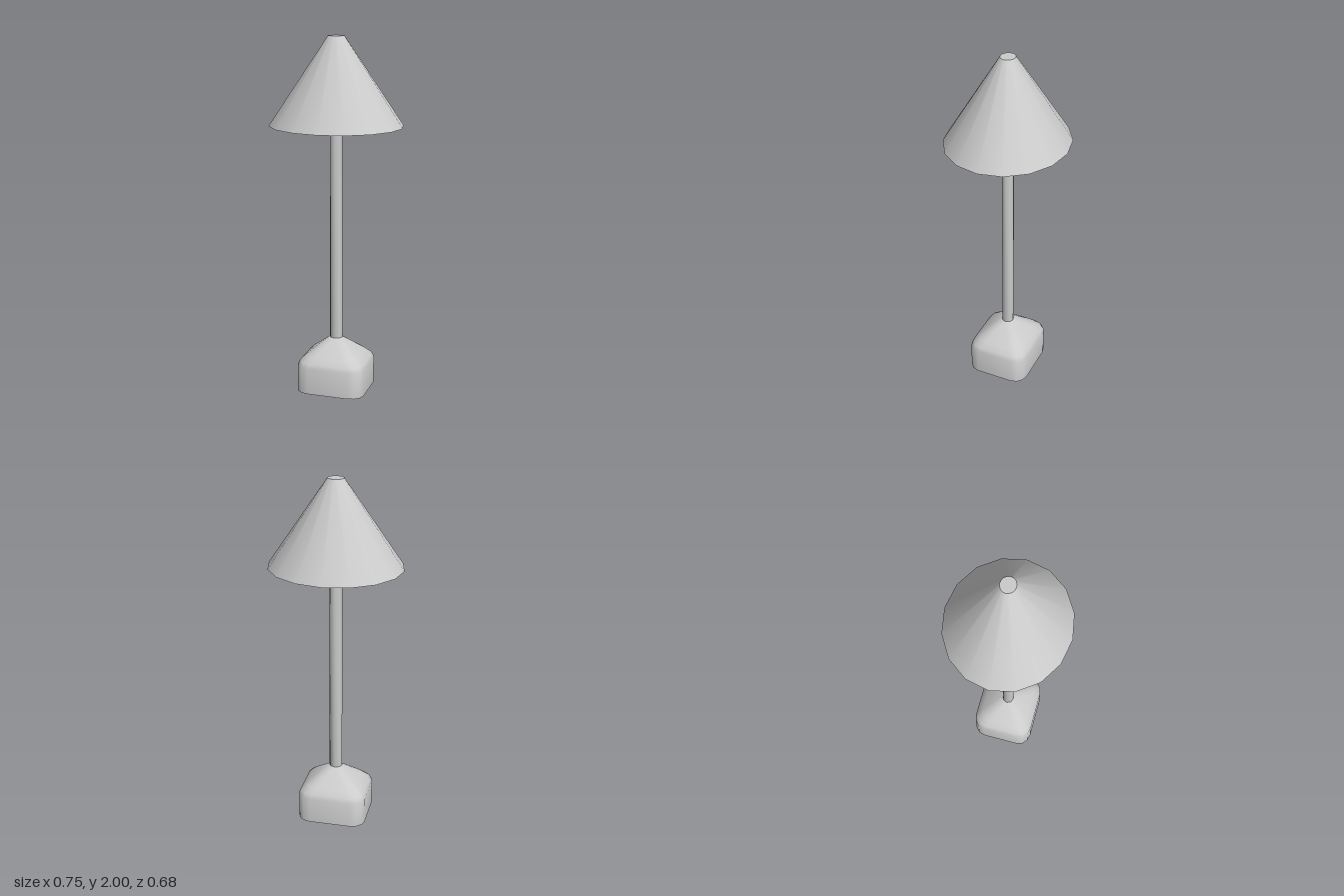
import * as THREE from 'three';
import { toCreasedNormals } from 'three/addons/utils/BufferGeometryUtils.js';

const DEPTH = 0.91; // the whole lamp is slightly narrower front to back
const material = new THREE.MeshStandardMaterial({ color: 0xcccccc });

// Rounded square outline; round = 1 gives a circle
function roundedSquare(half, round, steps) {
  const r = half * round, points = [];
  for (let q = 0; q < 4; q++) {
    const mid = (q + 0.5) * Math.PI / 2;
    const cx = Math.sign(Math.cos(mid)) * (half - r);
    const cz = Math.sign(Math.sin(mid)) * (half - r);
    for (let i = 0; i <= steps; i++) {
      const a = (q + i / steps) * Math.PI / 2;
      points.push([cx + r * Math.cos(a), (cz + r * Math.sin(a)) * DEPTH]);
    }
  }
  return points;
}

// Skin stacked outlines, each given as [half width, height, roundness]
function loft(sections, steps) {
  const pos = [], index = [], n = 4 * (steps + 1);
  for (const [half, y, round] of sections)
    for (const [x, z] of roundedSquare(half, round, steps)) pos.push(x, y, z);
  for (let s = 0; s < sections.length - 1; s++)
    for (let i = 0; i < n; i++) {
      const a = s * n + i, b = s * n + (i + 1) % n;
      index.push(a, a + n, b, b, a + n, b + n);
    }
  const geometry = new THREE.BufferGeometry();
  geometry.setAttribute('position', new THREE.Float32BufferAttribute(pos, 3));
  geometry.setIndex(index);
  return geometry;
}

// Lathe with the shared depth squash; points are [radius, height] from bottom to top
function lathe(points, sides) {
  const profile = points.map(([r, y]) => new THREE.Vector2(r, y));
  return new THREE.LatheGeometry(profile, sides).scale(1, 1, DEPTH);
}

export function createModel() {
  const group = new THREE.Group();
  const add = (name, geometry) => {
    const mesh = new THREE.Mesh(toCreasedNormals(geometry, 0.9), material);
    mesh.name = name;
    group.add(mesh);
  };

  // Rounded-square foot that tapers into the round stem
  add('base', loft([
    [0, 0, 0.4], [0.195, 0, 0.4], [0.195, 0.15, 0.4], [0.184, 0.175, 0.42],
    [0.155, 0.203, 0.45], [0.038, 0.298, 1], [0, 0.298, 1],
  ], 3));

  // Slim stem
  add('stem', lathe([[0.037, 0.28], [0.037, 1.51]], 8));

  // Closed conical shade with a shallow cone underneath
  add('shade', lathe([[0, 1.49], [0.373, 1.515], [0.045, 2], [0, 2]], 16));

  return group;
}
